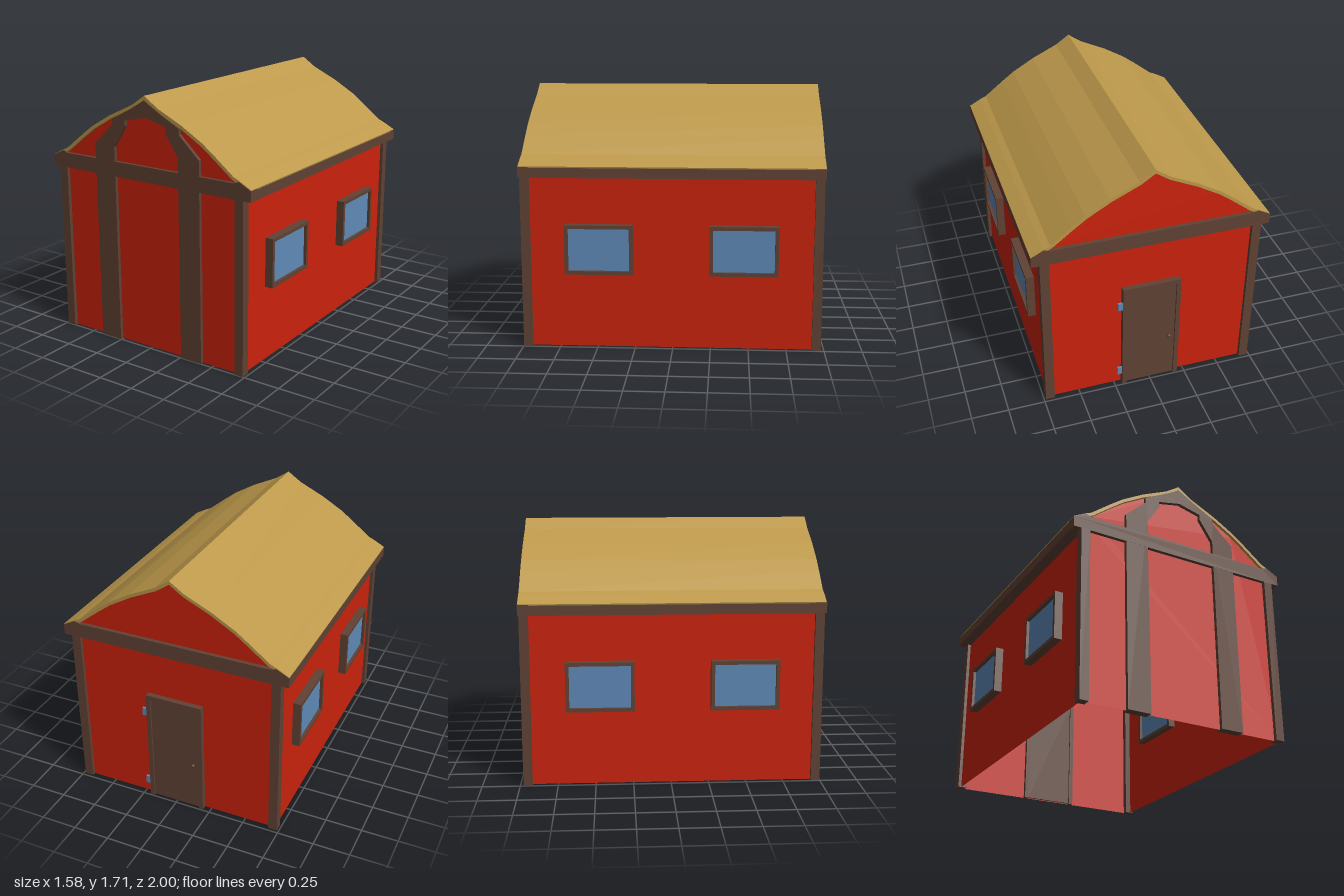
import * as THREE from 'three';

const mat = (name, color, side = THREE.FrontSide) => {
  const m = new THREE.MeshStandardMaterial({ color, side });
  m.name = name;
  return m;
};

export function createModel() {
  const barn = new THREE.Group();
  barn.name = 'barn';
  const red = mat('red wall', 0xcc220c, THREE.DoubleSide);
  const brown = mat('brown timber', 0x604234);
  const gold = mat('straw roof', 0xbd994b);
  const blue = mat('blue glass', 0x5f8ab8);

  const add = (name, geo, material, parent = barn) => {
    const mesh = new THREE.Mesh(geo, material);
    mesh.name = name;
    parent.add(mesh);
    return mesh;
  };
  // box given by its lower and upper corners
  const box = (name, a, b, material, parent) => {
    const mesh = add(name, new THREE.BoxGeometry(b[0] - a[0], b[1] - a[1], b[2] - a[2]), material, parent);
    mesh.position.set((a[0] + b[0]) / 2, (a[1] + b[1]) / 2, (a[2] + b[2]) / 2);
    return mesh;
  };
  const shapeOf = (pts) => new THREE.Shape(pts.map(([x, y]) => new THREE.Vector2(x, y)));
  // front-facing outline extruded from z0 to z1
  const slab = (name, pts, z0, z1, material) =>
    add(name, new THREE.ExtrudeGeometry(shapeOf(pts), { depth: z1 - z0, bevelEnabled: false }).translate(0, 0, z0), material);
  // half outline (from right foot to the centre line) mirrored to the other side
  const mirrored = (half) =>
    [...half, ...half.filter(([x]) => x > 0).reverse().map(([x, y]) => [-x, y])];

  // curved roof shell
  const outer = [[0.79, 1.224], [0.71, 1.267], [0.665, 1.287], [0.53, 1.393],
    [0.44, 1.46], [0.285, 1.55], [0.1, 1.637], [0, 1.705]];
  const inner = [[0.785, 1.206], [0.7, 1.246], [0.652, 1.27], [0.517, 1.376],
    [0.428, 1.442], [0.275, 1.531], [0.092, 1.617], [0, 1.68]];
  slab('roof', [...mirrored(outer), ...mirrored(inner).reverse()], -0.98, 0.995, gold);

  // gable walls, one sheet each
  const wallX = 0.715;
  const wall = mirrored([[wallX, 0], [wallX, 1.24], ...inner.slice(2)]);
  add('frontWall', new THREE.ShapeGeometry(shapeOf(wall)), red).position.z = 0.975;
  add('backWall', new THREE.ShapeGeometry(shapeOf(wall)).rotateY(Math.PI), red).position.z = -0.955;

  // beams across the two gables
  const beam = mirrored([[0.79, 1.15], [0.79, 1.22], [0.705, 1.264], [0.665, 1.25]]);
  slab('frontBeam', beam, 0.93, 1, brown);
  slab('backBeam', beam, -0.982, -0.91, brown);

  // front timber arch with its two uprights
  const archOuter = [[0.415, 0], [0.415, 1.352], [0.265, 1.493], [0.265, 1.53], [0.13, 1.6], [0, 1.675]];
  const archInner = [[0.255, 0], [0.255, 1.347], [0.16, 1.493], [0.16, 1.53], [0, 1.567]];
  slab('frontArch', [...mirrored(archOuter), ...mirrored(archInner).reverse()], 0.94, 0.999, brown);

  for (const s of [1, -1]) {
    const side = new THREE.Group();
    side.name = s > 0 ? 'leftSide' : 'rightSide';
    if (s < 0) side.rotation.y = Math.PI;
    barn.add(side);
    // depth positions flip with the turned group
    const span = (z0, z1) => (s > 0 ? [z0, z1] : [-z1, -z0]);

    // side wall
    const [w0, w1] = span(-0.955, 0.975);
    const sheet = add('sideWall', new THREE.PlaneGeometry(w1 - w0, 1.24).rotateY(Math.PI / 2), red, side);
    sheet.position.set(wallX, 0.62, (w0 + w1) / 2);

    // eave beam
    const [e0, e1] = span(-0.981, 0.999);
    box('eaveBeam', [0.67, 1.15, e0], [0.79, 1.215, e1], brown, side);

    // corner posts
    for (const [a, b] of [[0.94, 1], [-0.98, -0.92]]) {
      const [z0, z1] = span(a, b);
      box('cornerPost', [0.675, 0, z0], [0.737, 1.15, z1], brown, side);
    }

    // windows: frame running through the wall, and a pane
    for (const [a, b] of [[0.26, 0.71], [-0.69, -0.24]]) {
      const [z0, z1] = span(a, b);
      const t = 0.024;
      box('windowSill', [0.665, 0.505, z0], [0.77, 0.505 + t, z1], brown, side);
      box('windowHead', [0.665, 0.835 - t, z0], [0.77, 0.835, z1], brown, side);
      box('windowJamb', [0.665, 0.505 + t, z0], [0.77, 0.835 - t, z0 + t], brown, side);
      box('windowJamb', [0.665, 0.505 + t, z1 - t], [0.77, 0.835 - t, z1], brown, side);
      box('windowPane', [0.685, 0.505 + t, z0 + t], [0.75, 0.835 - t, z1 - t], blue, side);
    }
  }

  // back door with frame, hinges and knob
  const door = new THREE.Group();
  door.name = 'backDoor';
  barn.add(door);
  for (const s of [1, -1]) {
    const x = s * 0.185;
    box('doorJamb', [x - 0.015, 0, -0.992], [x + 0.015, 0.83, -0.93], brown, door);
  }
  box('doorHead', [-0.17, 0.795, -0.992], [0.17, 0.83, -0.93], brown, door);
  box('doorPanel', [-0.17, 0.005, -0.98], [0.17, 0.795, -0.94], brown, door);
  for (const y of [0.12, 0.69]) {
    box('doorHinge', [0.195, y - 0.028, -0.988], [0.232, y + 0.028, -0.972], blue, door);
  }
  add('doorKnob', new THREE.SphereGeometry(0.013, 12, 8), brown, door).position.set(-0.13, 0.35, -0.987);

  return barn;
}
